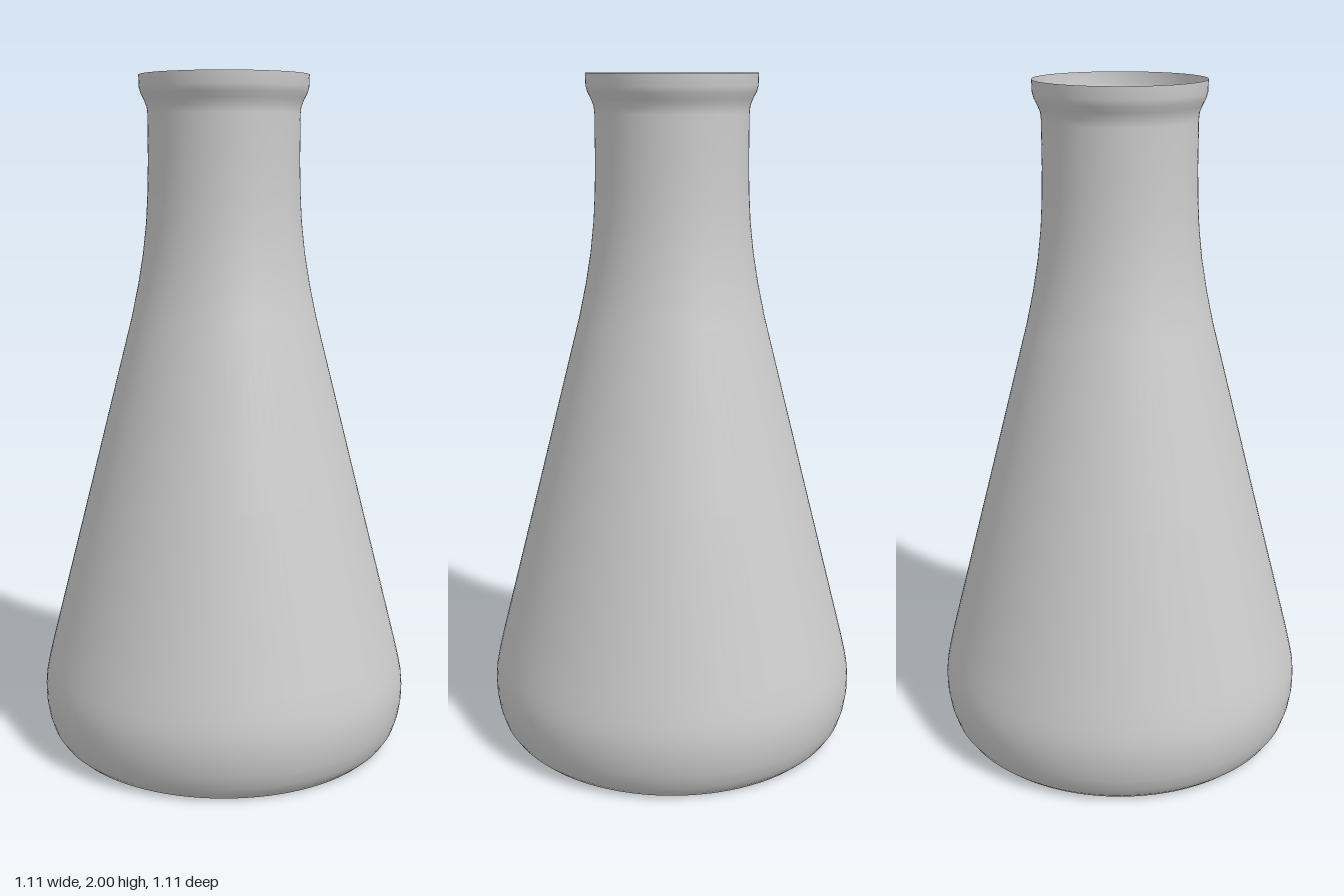
import * as THREE from 'three';

const SEGMENTS = 96;

// Turn a list of [radius, height] pairs around the y axis
function lathe(name, points, material) {
  const profile = points.map(([r, y]) => new THREE.Vector2(r, y));
  const mesh = new THREE.Mesh(new THREE.LatheGeometry(profile, SEGMENTS), material);
  mesh.name = name;
  return mesh;
}

// Flat round face at height y, facing up or down
function disc(name, radius, y, up, material) {
  const mesh = new THREE.Mesh(new THREE.CircleGeometry(radius, SEGMENTS), material);
  mesh.rotation.x = up ? -Math.PI / 2 : Math.PI / 2;
  mesh.position.y = y;
  mesh.name = name;
  return mesh;
}

export function createModel() {
  const flask = new THREE.Group();
  flask.name = 'conicalFlask';

  const glass = new THREE.MeshStandardMaterial({ color: 0xcccccc, side: THREE.DoubleSide });
  const blue = new THREE.MeshStandardMaterial({ color: 0x0d5bcb });

  // Thin open wall: rounded heel, straight cone, neck and flared lip
  flask.add(lathe('wall', [
    [0.495, 0], [0.515, 0.018], [0.533, 0.045], [0.546, 0.085], [0.553, 0.13],
    [0.554, 0.17], [0.551, 0.205], [0.543, 0.245], [0.53, 0.3],
    [0.402, 0.8], [0.275, 1.3],
    [0.254, 1.4], [0.239, 1.49], [0.229, 1.58], [0.224, 1.67], [0.222, 1.76],
    [0.222, 1.89], [0.224, 1.91], [0.232, 1.93], [0.241, 1.947], [0.246, 1.965], [0.247, 2],
  ], glass));
  flask.add(disc('base', 0.495, 0, false, glass));

  // Liquid held just inside the wall
  const liquid = new THREE.Group();
  liquid.name = 'liquid';
  const level = 0.75;
  const surfaceRadius = 0.405;
  liquid.add(lathe('liquidBody', [
    [0.34, 0.006], [0.46, 0.02], [0.505, 0.045], [0.53, 0.085], [0.542, 0.13],
    [0.543, 0.17], [0.54, 0.205], [0.532, 0.245], [0.519, 0.3], [surfaceRadius, level],
  ], blue));
  liquid.add(disc('liquidSurface', surfaceRadius, level, true, blue));
  liquid.add(disc('liquidBottom', 0.34, 0.006, false, blue));
  flask.add(liquid);

  return flask;
}
